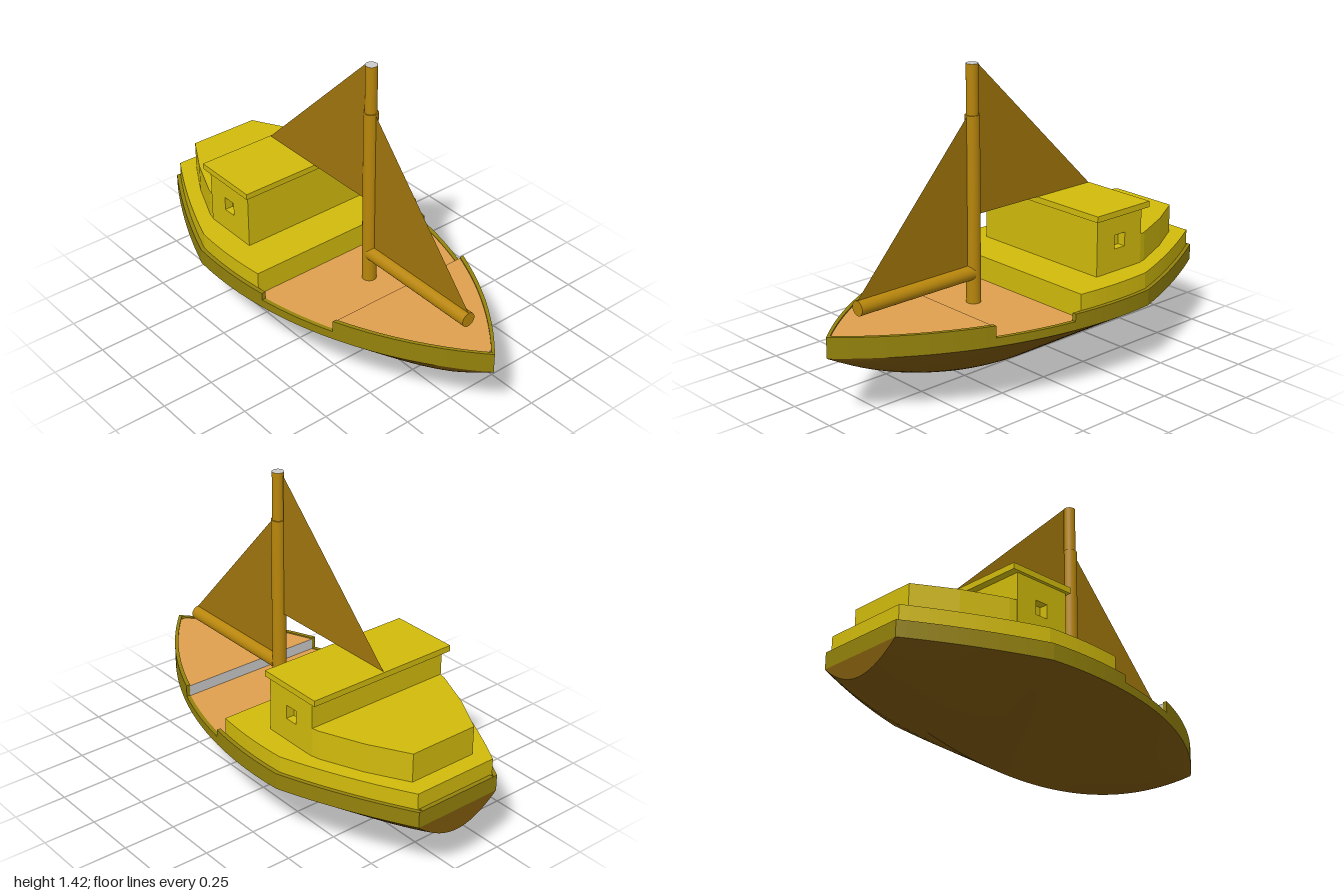
import * as THREE from 'three';

const mat = (color, extra = {}) => new THREE.MeshStandardMaterial({ color, ...extra });
const YELLOW = mat(0xd2bb0c), OLIVE = mat(0x94820c), ORANGE = mat(0xe0a050), GREY = mat(0xcccccc);
const WOOD = mat(0xb8860b), HULL = mat(0x7d590c), SAIL = mat(0xa0760c, { side: THREE.DoubleSide });
const RIM = 0.305; // height where hull meets bulwark

// Half width of the boat at station x
function halfWidth(x) {
  if (x < -0.41) {
    const t = (x + 1) / 0.59;
    return 0.22 + 0.273 * t + 0.07 * t * (1 - t);
  }
  return Math.max(0, Math.hypot(1.8125) && Math.sqrt(1.8125 ** 2 - (x + 0.25) ** 2) - 1.3125);
}

function add(group, name, geometry, material) {
  const mesh = new THREE.Mesh(geometry, material);
  mesh.name = name;
  group.add(mesh);
  return mesh;
}

// Evenly spaced stations, always including the corner at x = -0.41
function stations(x0, x1, n = 28) {
  const xs = Array.from({ length: n + 1 }, (_, i) => x0 + (x1 - x0) * i / n);
  if (x0 < -0.41 && x1 > -0.41) xs.push(-0.41);
  return xs.sort((a, b) => a - b);
}

// Upright prism from a plan outline given as [x, z] points
function prism(points, y0, y1) {
  const shape = new THREE.Shape(points.map(([x, z]) => new THREE.Vector2(x, -z)));
  const geo = new THREE.ExtrudeGeometry(shape, { depth: y1 - y0, bevelEnabled: false });
  return geo.rotateX(-Math.PI / 2).translate(0, y0, 0);
}

// Symmetric prism following the boat outline, set in by a margin
function deckPrism(x0, x1, inset, y0, y1) {
  const side = stations(x0, x1).map(x => [x, Math.max(0.0005, halfWidth(x) - inset)]);
  return prism([...side, ...side.slice().reverse().map(([x, z]) => [x, -z])], y0, y1);
}

// Section data of the V hull that turns rounder toward the ends
function section(x, q) {
  const u = (x + 0.1) / 1.1;
  const depth = RIM * (1 - u * u), power = 1 / (1 - 0.72 * Math.min(u * u, 0.75));
  return [halfWidth(x) * q, RIM - depth + depth * q ** power];
}

function hullSide(s) {
  const xs = stations(-1, 1, 48), m = 14, pos = [], index = [];
  xs.forEach((x, i) => {
    for (let j = 0; j <= m; j++) {
      const [z, y] = section(x, j / m);
      pos.push(x, y, s * z);
      if (i < xs.length - 1 && j < m) {
        const a = i * (m + 1) + j, b = a + m + 1;
        if (s > 0) index.push(a, b, a + 1, b, b + 1, a + 1);
        else index.push(a, a + 1, b, b, a + 1, b + 1);
      }
    }
  });
  const geo = new THREE.BufferGeometry();
  geo.setAttribute('position', new THREE.Float32BufferAttribute(pos, 3));
  geo.setIndex(index);
  geo.computeVertexNormals();
  return geo;
}

function cylinder(r, length) {
  return new THREE.CylinderGeometry(r, r, length, 24);
}

function box(x0, x1, y0, y1, halfZ) {
  return new THREE.BoxGeometry(x1 - x0, y1 - y0, halfZ * 2)
    .translate((x0 + x1) / 2, (y0 + y1) / 2, 0);
}

function triangle(...points) {
  return new THREE.ShapeGeometry(new THREE.Shape(points.map(p => new THREE.Vector2(...p))));
}

export function createModel() {
  const boat = new THREE.Group();
  boat.name = 'sailboat';

  // Hull sides and transom
  const edge = [];
  for (let j = -14; j <= 14; j++) {
    const [z, y] = section(-1, Math.abs(j) / 14);
    edge.push([Math.sign(j) * z, y]);
  }
  add(boat, 'transom', triangle(...edge).rotateY(-Math.PI / 2).translate(-1, 0, 0), HULL);

  // Bulwark in three heights on each side
  for (const s of [1, -1]) {
    add(boat, 'hullSide', hullSide(s), HULL);
    for (const [x0, x1, top] of [[-1, 0.03, 0.38], [0.03, 0.4, 0.345], [0.4, 1, 0.4]]) {
      const xs = stations(x0, x1);
      const outer = xs.map(x => [x, s * halfWidth(x)]);
      const inner = xs.filter(x => halfWidth(x) > 0.02).map(x => [x, s * (halfWidth(x) - 0.02)]);
      add(boat, 'bulwark', prism([...outer, ...inner.reverse()], RIM, top), OLIVE);
    }
  }
  add(boat, 'sternBulwark', box(-1, -0.98, RIM, 0.38, 0.2), OLIVE);

  // Decks, the raised foredeck having a grey riser
  add(boat, 'mainDeck', deckPrism(-0.98, 0.4, 0.018, 0.3, 0.342), ORANGE);
  add(boat, 'foreDeck', deckPrism(0.4, 0.965, 0.018, 0.306, 0.394), [ORANGE, GREY]);

  // Trunk, aft cabin and wheelhouse
  add(boat, 'trunk', deckPrism(-0.98, -0.015, 0.021, 0.32, 0.455), YELLOW);
  const aft = [[-0.9, 0.17], [-0.72, 0.272], [-0.525, 0.355], [-0.48, 0.365]];
  add(boat, 'aftCabin',
    prism([...aft, ...aft.slice().reverse().map(([x, z]) => [x, -z])], 0.455, 0.59), YELLOW);
  add(boat, 'wheelhouse', box(-0.49, -0.21, 0.455, 0.715, 0.325), YELLOW);
  const wall = new THREE.Shape();
  wall.moveTo(-0.49, 0.455).lineTo(-0.21, 0.455).lineTo(-0.21, 0.715).lineTo(-0.49, 0.715);
  const win = new THREE.Path();
  win.moveTo(-0.385, 0.56).lineTo(-0.385, 0.625).lineTo(-0.32, 0.625).lineTo(-0.32, 0.56);
  wall.holes.push(win);
  for (const z of [0.325, -0.365]) {
    const geo = new THREE.ExtrudeGeometry(wall, { depth: 0.04, bevelEnabled: false });
    add(boat, 'windowWall', geo.translate(0, 0, z), YELLOW);
  }
  add(boat, 'roof', box(-0.525, -0.195, 0.715, 0.743, 0.38), YELLOW);

  // Mast, topmast and boom
  add(boat, 'mast', cylinder(0.033, 0.86).translate(0.193, 0.77, 0), WOOD);
  add(boat, 'topmast', cylinder(0.027, 0.23).translate(0.193, 1.31, 0), [WOOD, GREY, WOOD]);
  add(boat, 'boom', cylinder(0.034, 0.63).rotateZ(Math.PI / 2).translate(0.52, 0.483, 0), WOOD);

  // Sails
  add(boat, 'aftSail', triangle([-0.52, 0.744], [0.157, 0.744], [0.157, 1.415]), SAIL);
  add(boat, 'foreSail', triangle([0.22, 0.49], [0.833, 0.49], [0.833, 0.517], [0.22, 1.2]), SAIL);

  return boat;
}
